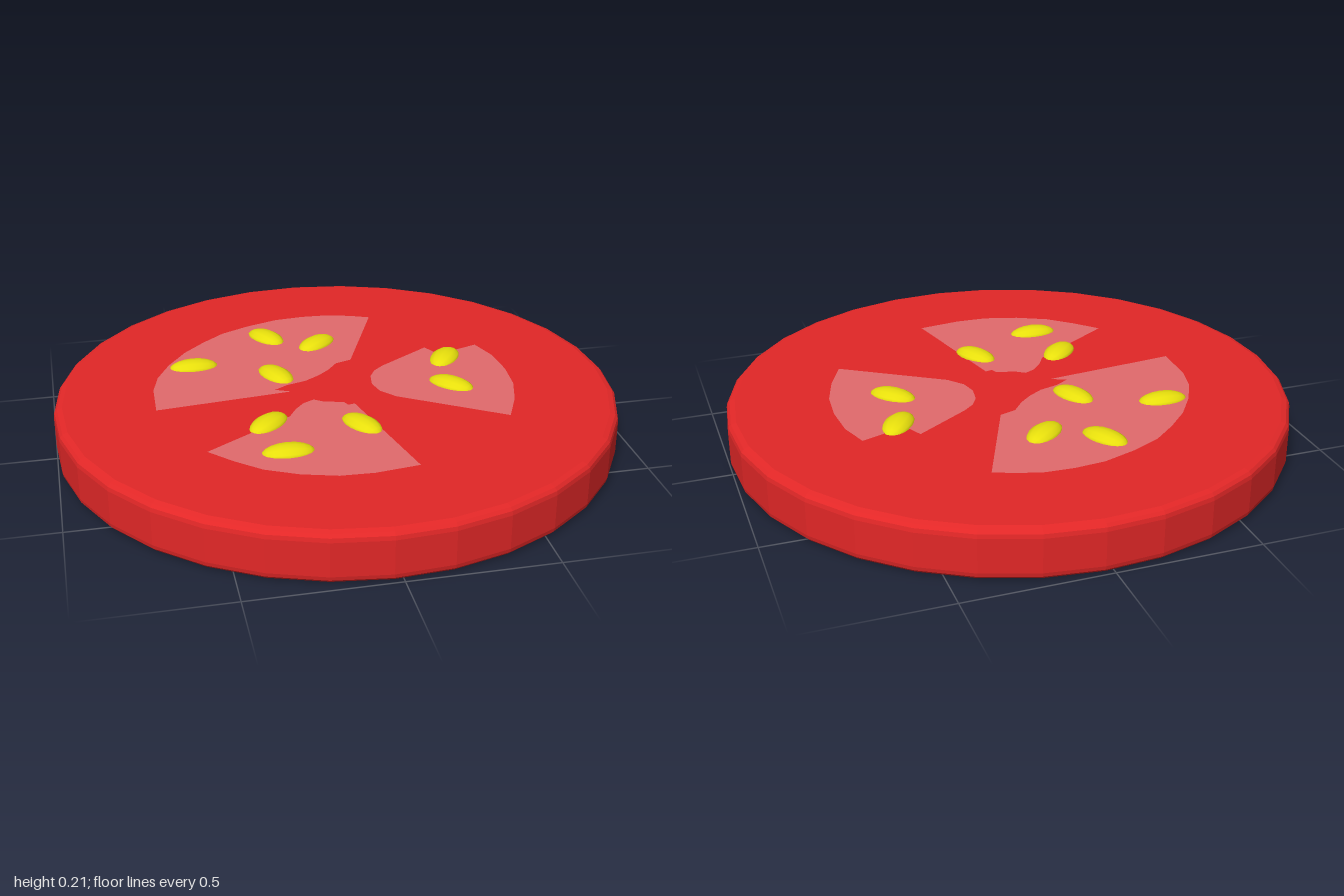
import * as THREE from 'three';

const TOP = 0.18;

export function createModel() {
  const group = new THREE.Group();
  const red = new THREE.MeshStandardMaterial({ color: 0xe32727, flatShading: true });
  const pink = new THREE.MeshStandardMaterial({ color: 0xe36a6c });
  const yellow = new THREE.MeshStandardMaterial({ color: 0xe8e00c });

  const add = (name, geometry, material) => {
    const mesh = new THREE.Mesh(geometry, material);
    mesh.name = name;
    group.add(mesh);
    return mesh;
  };

  // Round slice with softened rims
  const profile = [
    [0, 0], [0.97, 0], [0.988, 0.006], [0.997, 0.016], [1, 0.03],
    [1, TOP - 0.03], [0.997, TOP - 0.016], [0.988, TOP - 0.006], [0.97, TOP], [0, TOP],
  ].map(([r, y]) => new THREE.Vector2(r, y));
  add('slice', new THREE.LatheGeometry(profile, 32, -0.033), red);

  // Pale seed pockets, outlined as [x, z] on the cut face
  const pockets = {
    backPocket: [
      [0.26, -0.59], [0.19, -0.62], [0.1, -0.645], [0, -0.65], [-0.11, -0.64], [-0.23, -0.6],
      [-0.335, -0.55], [-0.42, -0.48], [-0.5, -0.4], [-0.57, -0.3], [-0.62, -0.2], [-0.645, -0.1],
      [-0.65, 0.06], [-0.165, 0.01], [-0.22, -0.015], [-0.17, -0.045], [-0.1, -0.065],
      [-0.045, -0.1], [0, -0.14], [0.04, -0.19], [0.1, -0.21],
    ],
    leftPocket: [
      [0.595, -0.245], [0.63, -0.14], [0.64, -0.015], [0.63, 0.11], [0.595, 0.23], [0.54, 0.35],
      [0.19, 0.125], [0.145, 0.07], [0.13, 0.01], [0.14, -0.055], [0.165, -0.1], [0.205, -0.135],
      [0.4, -0.26], [0.435, -0.19],
    ],
    frontPocket: [
      [-0.515, 0.395], [-0.44, 0.475], [-0.355, 0.55], [-0.245, 0.605], [-0.125, 0.64],
      [-0.01, 0.645], [0.145, 0.625], [0.035, 0.15], [0.01, 0.155], [0, 0.13], [-0.065, 0.115],
      [-0.1, 0.09], [-0.14, 0.11], [-0.175, 0.15], [-0.205, 0.2],
    ],
  };
  for (const [name, outline] of Object.entries(pockets)) {
    const shape = new THREE.Shape(outline.map(([x, z]) => new THREE.Vector2(x, -z)));
    add(name, new THREE.ShapeGeometry(shape).rotateX(-Math.PI / 2), pink).position.y = TOP + 0.0015;
  }

  // Flattened seeds half sunk in the pockets: x, z, turn in degrees
  const seedGeometry = new THREE.SphereGeometry(1, 12, 10).rotateZ(Math.PI / 2).scale(0.09, 0.032, 0.053);
  const seeds = [
    [-0.175, -0.48, -60], [0.005, -0.385, 41], [-0.48, -0.275, 0], [-0.195, -0.14, -66],
    [0.45, -0.16, 56], [0.41, 0.065, -47], [-0.285, 0.235, 46], [0.025, 0.305, -62], [-0.255, 0.445, 0],
  ];
  for (const [x, z, turn] of seeds) {
    const seed = add('seed', seedGeometry, yellow);
    seed.position.set(x, TOP - 0.006, z);
    seed.rotation.y = THREE.MathUtils.degToRad(turn);
  }
  return group;
}
